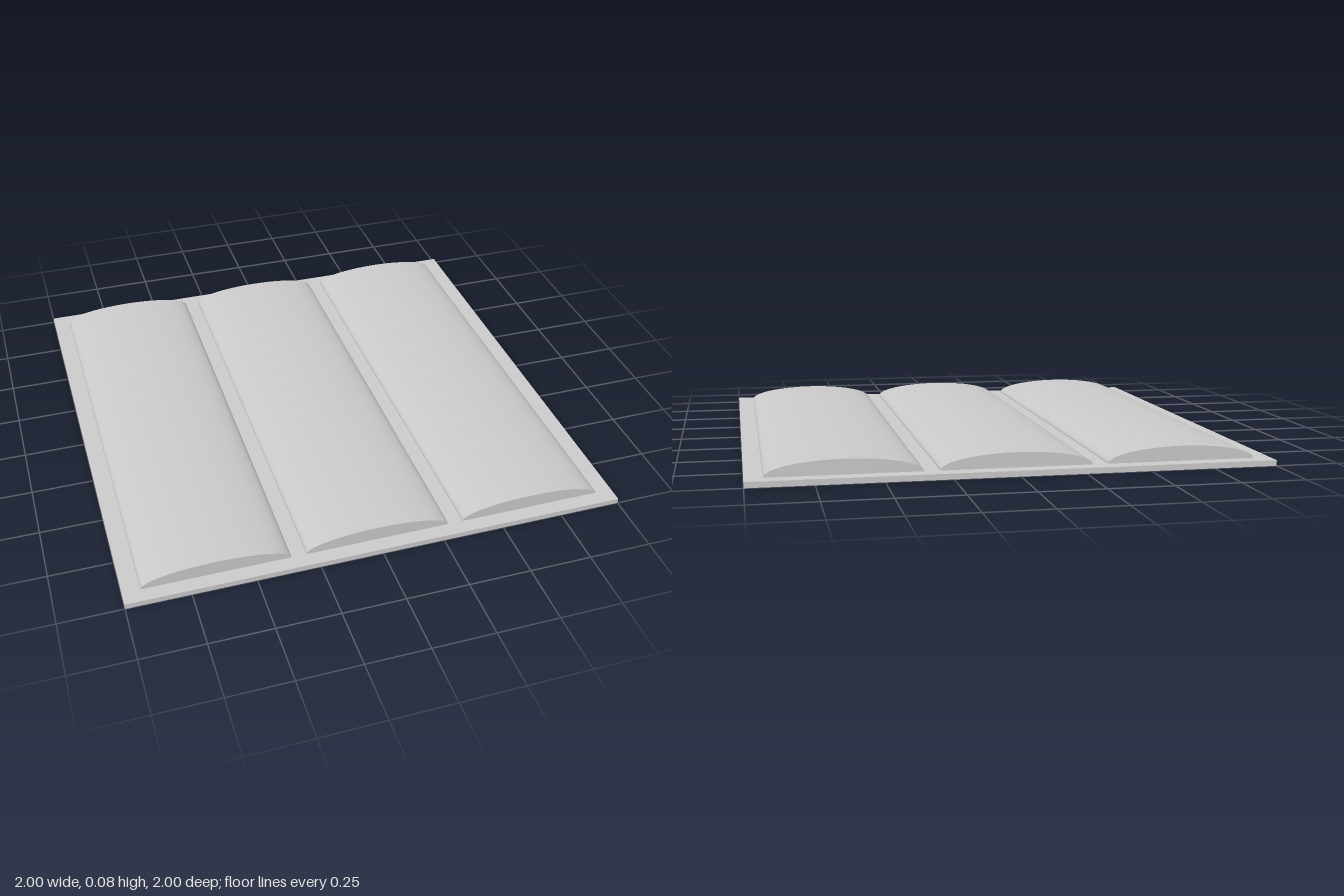
import * as THREE from 'three';

export function createModel() {
  const group = new THREE.Group();
  const material = new THREE.MeshStandardMaterial({ color: 0xcccccc });
  const plateHeight = 0.022, ridgeHeight = 0.058;
  const ridgeHalfWidth = 0.29, ridgeLength = 1.88, spacing = 0.64;

  // Thin square base
  const plate = new THREE.Mesh(new THREE.BoxGeometry(2, plateHeight, 2), material);
  plate.name = 'basePlate';
  plate.position.y = plateHeight / 2;
  group.add(plate);

  // Half cylinder lying along z, flattened into a shallow elliptical ridge
  const ridgeGeometry = new THREE.CylinderGeometry(1, 1, ridgeLength, 24, 1, false, -Math.PI / 2, Math.PI)
    .rotateX(-Math.PI / 2)
    .scale(ridgeHalfWidth, ridgeHeight, 1);

  // Three parallel ridges
  ['rightRidge', 'middleRidge', 'leftRidge'].forEach((name, i) => {
    const ridge = new THREE.Mesh(ridgeGeometry, material);
    ridge.name = name;
    ridge.position.set((i - 1) * spacing, plateHeight, 0);
    group.add(ridge);
  });

  return group;
}
